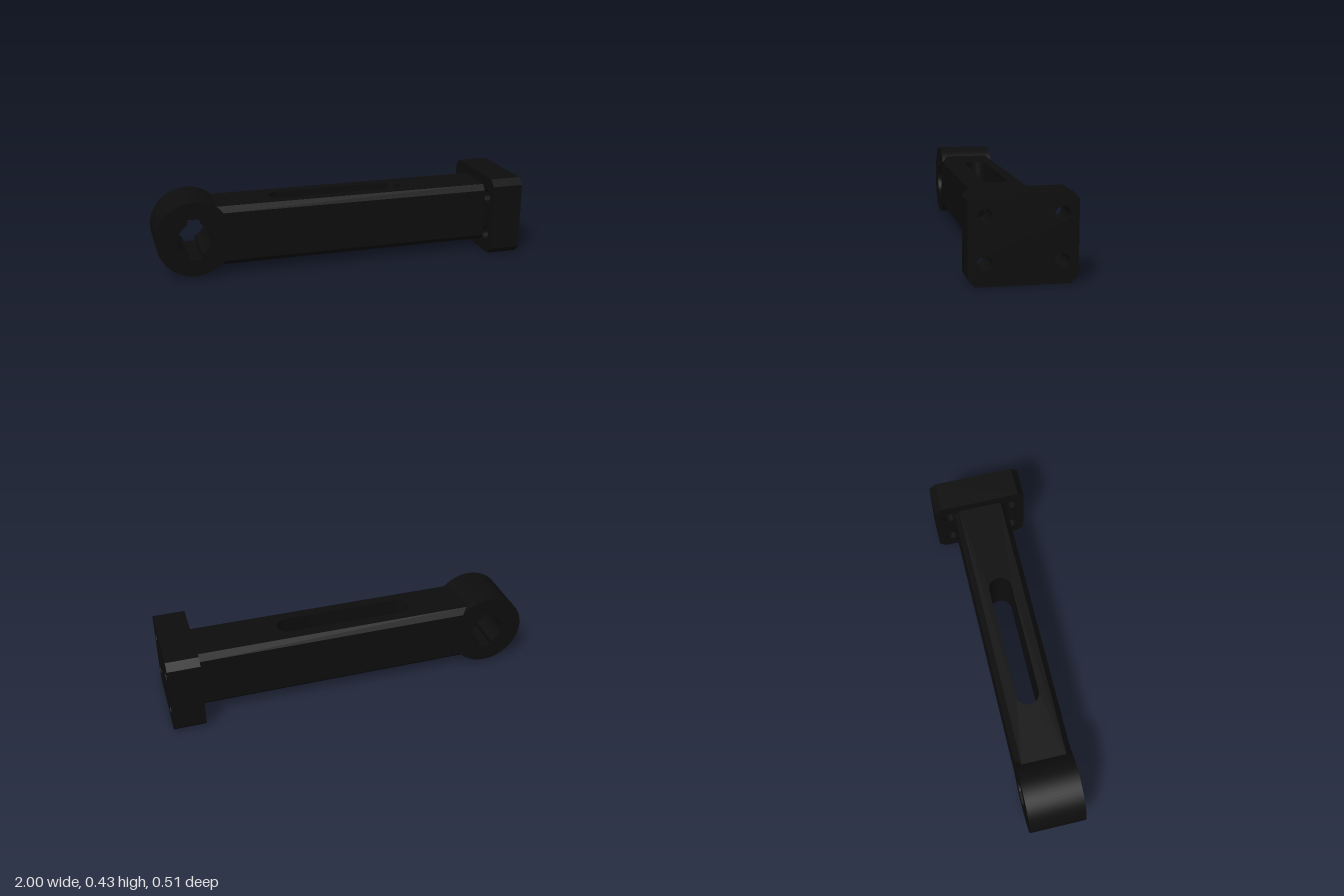
import * as THREE from 'three';
import { toCreasedNormals } from 'three/addons/utils/BufferGeometryUtils.js';

const MID_Y = 0.215;

export function createModel() {
  const group = new THREE.Group();
  const blackMetal = new THREE.MeshStandardMaterial({ color: 0x0d0d0d });
  blackMetal.name = 'blackMetal';

  const extrude = (shape, depth) => toCreasedNormals(
    new THREE.ExtrudeGeometry(shape, { depth, bevelEnabled: false, curveSegments: 32 }), 0.5);

  const add = (name, geometry) => {
    const mesh = new THREE.Mesh(geometry, blackMetal);
    mesh.name = name;
    group.add(mesh);
  };

  const polygon = (points) => new THREE.Shape(points.map(([x, y]) => new THREE.Vector2(x, y)));

  // Rectangle with its four corners cut at 45 degrees
  const chamferedRect = (w, h, c) => polygon([
    [-w + c, -h], [w - c, -h], [w, -h + c], [w, h - c],
    [w - c, h], [-w + c, h], [-w, h - c], [-w, -h + c],
  ]);

  // Hub ring with a bore and two opposite keyways
  const hub = new THREE.Shape().absarc(0, 0, 0.202, 0, Math.PI * 2);
  const boreR = 0.088, keyW = 0.035, keyH = 0.11;
  const a = Math.acos(keyW / boreR);
  const bore = new THREE.Path();
  bore.absarc(0, 0, boreR, -a, a, false);
  bore.lineTo(keyW, keyH);
  bore.lineTo(-keyW, keyH);
  bore.absarc(0, 0, boreR, Math.PI - a, Math.PI + a, false);
  bore.lineTo(-keyW, -keyH);
  bore.lineTo(keyW, -keyH);
  bore.closePath();
  hub.holes.push(bore);
  add('hub', extrude(hub, 0.3).translate(-0.798, MID_Y + 0.001, -0.15));

  // Arm core with a long vertical slot through it
  const x0 = -0.68, x1 = 0.83, halfH = 0.161, halfW = 0.15, chamfer = 0.03;
  const inner = halfW - chamfer;
  const core = polygon([[x0, -inner], [x1, -inner], [x1, inner], [x0, inner]]);
  const slotR = 0.062;
  const slot = new THREE.Path();
  slot.absarc(0.312, 0, slotR, -Math.PI / 2, Math.PI / 2, false);
  slot.absarc(-0.31, 0, slotR, Math.PI / 2, Math.PI * 1.5, false);
  slot.closePath();
  core.holes.push(slot);
  add('armCore', extrude(core, halfH * 2).rotateX(-Math.PI / 2).translate(0, MID_Y - halfH, 0));

  // Chamfered sides of the arm
  for (const [name, s] of [['armFrontSide', -1], ['armBackSide', 1]]) {
    const side = polygon([
      [s * inner, -halfH], [s * halfW, -halfH + chamfer],
      [s * halfW, halfH - chamfer], [s * inner, halfH],
    ]);
    add(name, extrude(side, x1 - x0).rotateY(Math.PI / 2).translate(x0, MID_Y, 0));
  }

  // Mounting plate with four bolt holes
  const plate = chamferedRect(0.257, 0.215, 0.035);
  for (const sx of [-1, 1]) for (const sy of [-1, 1]) {
    plate.holes.push(new THREE.Path().absarc(sx * 0.18, sy * 0.108, 0.036, 0, Math.PI * 2));
  }
  add('mountingPlate', extrude(plate, 0.17).rotateY(Math.PI / 2).translate(0.83, MID_Y, 0));

  return group;
}
